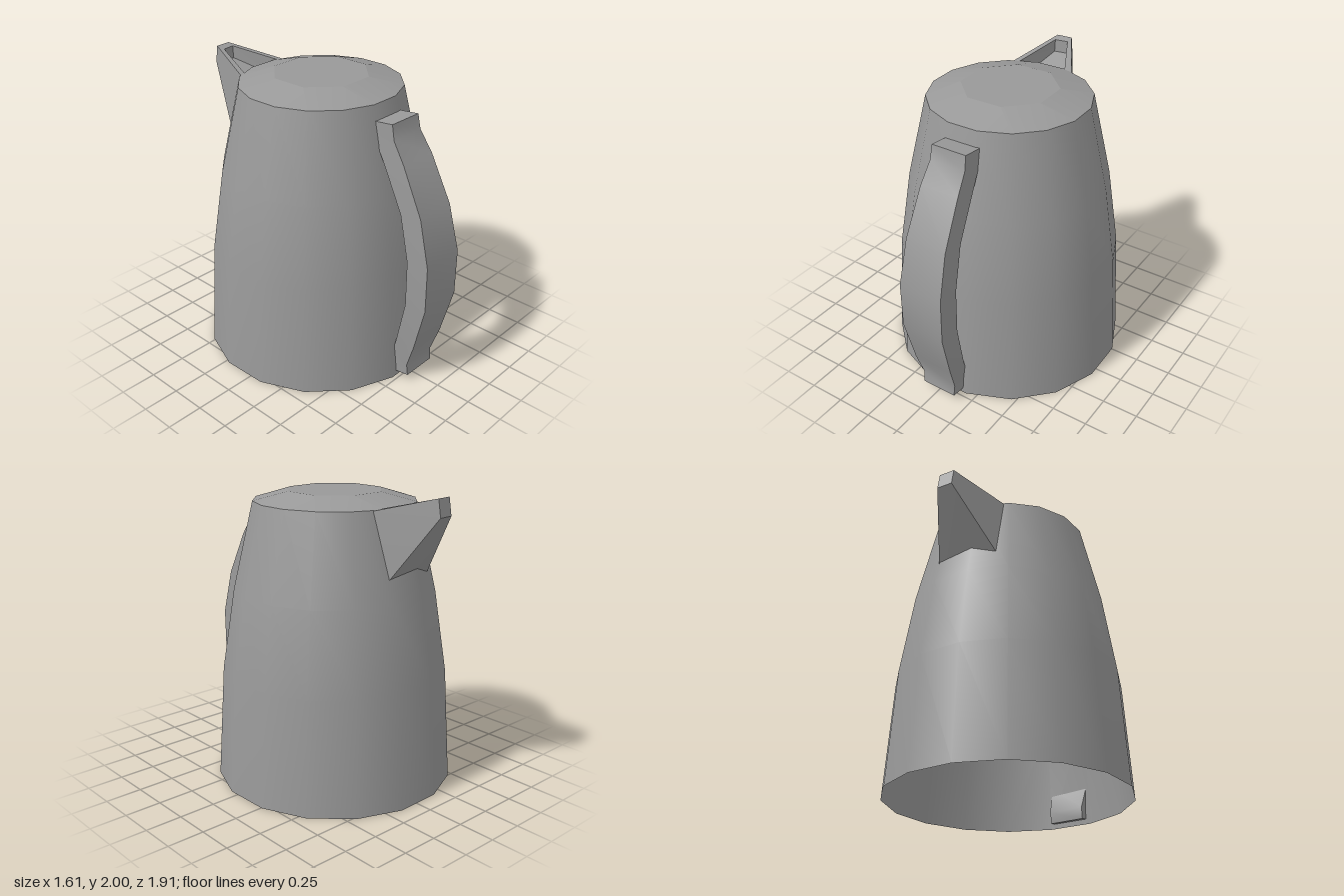
import * as THREE from 'three';
import { toCreasedNormals } from 'three/addons/utils/BufferGeometryUtils.js';

const SIDES = 16;
const TURN = THREE.MathUtils.degToRad(12.5);
const AXIS_Z = -0.08;
const LID_RADIUS = 0.325;
const LID_Y = 1.975;

const solid = new THREE.MeshStandardMaterial({ color: 0x999999 });
const shell = new THREE.MeshStandardMaterial({ color: 0x999999, side: THREE.DoubleSide });

function addMesh(group, name, geometry, material) {
  const mesh = new THREE.Mesh(geometry, material);
  mesh.name = name;
  group.add(mesh);
  return mesh;
}

// Revolved surface from [radius, height] pairs
function turned(points) {
  return new THREE.LatheGeometry(points.map(([r, y]) => new THREE.Vector2(r, y)), SIDES, TURN);
}

// Angle of a corner of the eight-sided lid centre
function lidAngle(corner) {
  return TURN + ((corner + 0.25) * Math.PI) / 4;
}

// Lid slope: the inner ring's corners merge in pairs to meet the eight-sided centre
function lidSlope() {
  const geometry = turned([[0.545, 1.91], [LID_RADIUS, LID_Y]]);
  const position = geometry.attributes.position;
  for (let i = 0; i <= SIDES; i++) {
    const angle = lidAngle(Math.floor(i / 2));
    position.setXYZ(i * 2 + 1, LID_RADIUS * Math.sin(angle), LID_Y, LID_RADIUS * Math.cos(angle));
  }
  return geometry;
}

// Joins four-cornered rings into a capped solid; corners run counter-clockwise
// when the first ring is seen from outside
function loft(rings, crease) {
  const index = [];
  for (let i = 0; i < rings.length - 1; i++) {
    for (let j = 0; j < 4; j++) {
      const k = (j + 1) % 4;
      const a = i * 4 + j, b = i * 4 + k, c = b + 4, d = a + 4;
      index.push(a, d, c, a, c, b);
    }
  }
  const e = (rings.length - 1) * 4;
  index.push(0, 1, 2, 0, 2, 3, e, e + 2, e + 1, e, e + 3, e + 2);
  const geometry = new THREE.BufferGeometry();
  geometry.setAttribute('position', new THREE.Float32BufferAttribute(rings.flat(2), 3));
  geometry.setIndex(index);
  return toCreasedNormals(geometry, crease);
}

export function createModel() {
  const model = new THREE.Group();
  model.name = 'jug';

  // Tapered wall, open underneath
  const body = new THREE.Group();
  body.name = 'body';
  body.position.z = AXIS_Z;
  model.add(body);
  addMesh(body, 'wall', turned([[0.816, 0], [0.766, 0.78], [0.68, 1.33], [0.545, 1.91]]), shell);

  // Shallow lid with a flat centre
  addMesh(body, 'lidSlope', lidSlope(), shell);
  const centre = new THREE.CircleGeometry(LID_RADIUS, 8, lidAngle(0) - Math.PI / 2);
  addMesh(body, 'lidCentre', centre.rotateX(-Math.PI / 2).translate(0, LID_Y, 0), shell);

  // Handle stations, top to bottom: outer z, y, inner z, y, half width
  const stations = [
    [0.61, 1.825, 0.47, 1.81, 0.126],
    [0.63, 1.725, 0.50, 1.66, 0.13],
    [0.72, 1.59, 0.57, 1.55, 0.14],
    [0.875, 1.28, 0.72, 1.26, 0.15],
    [0.955, 0.965, 0.795, 0.95, 0.16],
    [0.955, 0.645, 0.795, 0.625, 0.158],
    [0.87, 0.31, 0.72, 0.29, 0.145],
    [0.81, 0.13, 0.66, 0.11, 0.13],
    [0.82, 0.05, 0.67, 0.03, 0.128],
  ];
  const handleX = 0.023;
  const handleRings = stations.map(([zo, yo, zi, yi, w]) => [
    [handleX - w, yo, zo], [handleX + w, yo, zo],
    [handleX + w, yi, zi], [handleX - w, yi, zi],
  ]);
  addMesh(model, 'handle', loft(handleRings, 0.7), solid);

  // Spout: underside, outer rim, inner rim, trough floor
  const spoutRings = [
    [[-0.155, 1.885, -0.945], [-0.045, 1.885, -0.955], [0.135, 1.46, -0.69], [-0.30, 1.46, -0.635]],
    [[-0.155, 2.0, -0.925], [-0.045, 2.0, -0.935], [0.17, 1.9, -0.57], [-0.29, 1.9, -0.52]],
    [[-0.14, 1.985, -0.87], [-0.05, 1.985, -0.885], [0.13, 1.9, -0.54], [-0.25, 1.9, -0.52]],
    [[-0.14, 1.9, -0.865], [-0.05, 1.9, -0.88], [0.11, 1.78, -0.58], [-0.23, 1.78, -0.56]],
  ];
  addMesh(model, 'spout', loft(spoutRings, 0.3), solid);

  return model;
}
